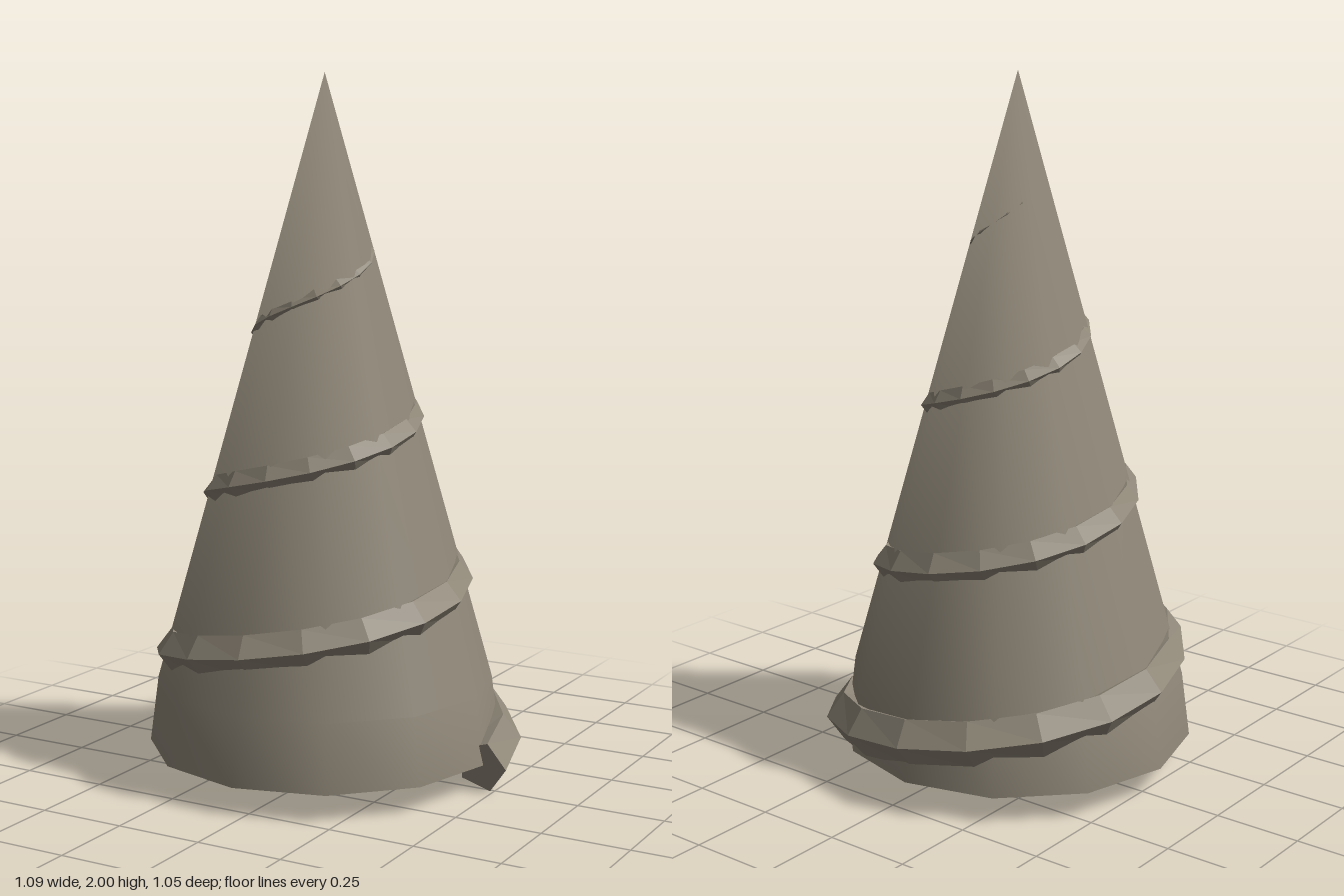
import * as THREE from 'three';

const stone = new THREE.MeshStandardMaterial({ color: 0x8f8778 });
stone.name = 'warm grey';

// Spiral ridge: a pentagonal section that climbs and tapers around the cone
function ridgeGeometry() {
  const perTurn = 16, turns = 4, sides = 5, vanish = 4.05;
  const pos = [], index = [];
  const steps = perTurn * turns;
  for (let i = 0; i <= steps; i++) {
    const t = i / perTurn, a = t * Math.PI * 2, k = 1 - t / vanish;
    const out = new THREE.Vector3(Math.cos(a), 0, -Math.sin(a));
    const centre = out.clone().multiplyScalar(0.503 * k);
    centre.y = 0.076 + 0.466 * t;
    // section leans back so it stays square to the climbing path
    const tangent = new THREE.Vector3(-Math.sin(a), 0, -Math.cos(a))
      .multiplyScalar(0.503 * Math.max(k, 0.2) * Math.PI * 2);
    tangent.y = 0.466;
    const up = new THREE.Vector3().crossVectors(out, tangent).normalize();
    for (let j = 0; j < sides; j++) {
      const b = (j / sides) * Math.PI * 2, r = 0.076 * k;
      const p = centre.clone()
        .addScaledVector(out, Math.cos(b) * r)
        .addScaledVector(up, Math.sin(b) * r);
      pos.push(p.x, p.y, p.z);
    }
  }
  for (let i = 0; i < steps; i++) {
    for (let j = 0; j < sides; j++) {
      const n = (j + 1) % sides;
      const a = i * sides + j, b = i * sides + n, c = a + sides, d = b + sides;
      index.push(a, c, b, b, c, d);
    }
  }
  // end caps
  const e = steps * sides;
  for (let j = 1; j < sides - 1; j++) {
    index.push(0, j, j + 1, e, e + j + 1, e + j);
  }
  const g = new THREE.BufferGeometry();
  g.setAttribute('position', new THREE.Float32BufferAttribute(pos, 3));
  g.setIndex(index);
  // facing check: the first outer face must point away from the axis
  const flat = g.toNonIndexed();
  flat.computeVertexNormals();
  if (flat.getAttribute('normal').getX(0) < 0) {
    for (let i = 0; i < index.length; i += 3) {
      [index[i + 1], index[i + 2]] = [index[i + 2], index[i + 1]];
    }
    g.setIndex(index);
    const flipped = g.toNonIndexed();
    flipped.computeVertexNormals();
    return flipped;
  }
  return flat;
}

export function createModel() {
  const model = new THREE.Group();
  model.name = 'spiralHorn';

  const add = (name, geometry) => {
    const mesh = new THREE.Mesh(geometry, stone);
    mesh.name = name;
    mesh.position.set(-0.037, 0, 0.02);
    model.add(mesh);
  };

  // Cone body with a slightly steeper foot
  const body = new THREE.LatheGeometry([
    new THREE.Vector2(0.51, 0.08),
    new THREE.Vector2(0.485, 0.27),
    new THREE.Vector2(0, 2),
  ], 12);
  // smooth, rounded shading at the tip
  const p = body.getAttribute('position'), n = body.getAttribute('normal');
  for (let i = 0; i < p.count; i++) if (p.getY(i) > 1.99) n.setXYZ(i, 0, 1, 0);
  add('cone', body);

  // Flat underside
  const base = new THREE.CircleGeometry(0.51, 12);
  base.rotateX(Math.PI / 2);
  base.translate(0, 0.08, 0);
  add('base', base);

  add('spiralRidge', ridgeGeometry());
  return model;
}
